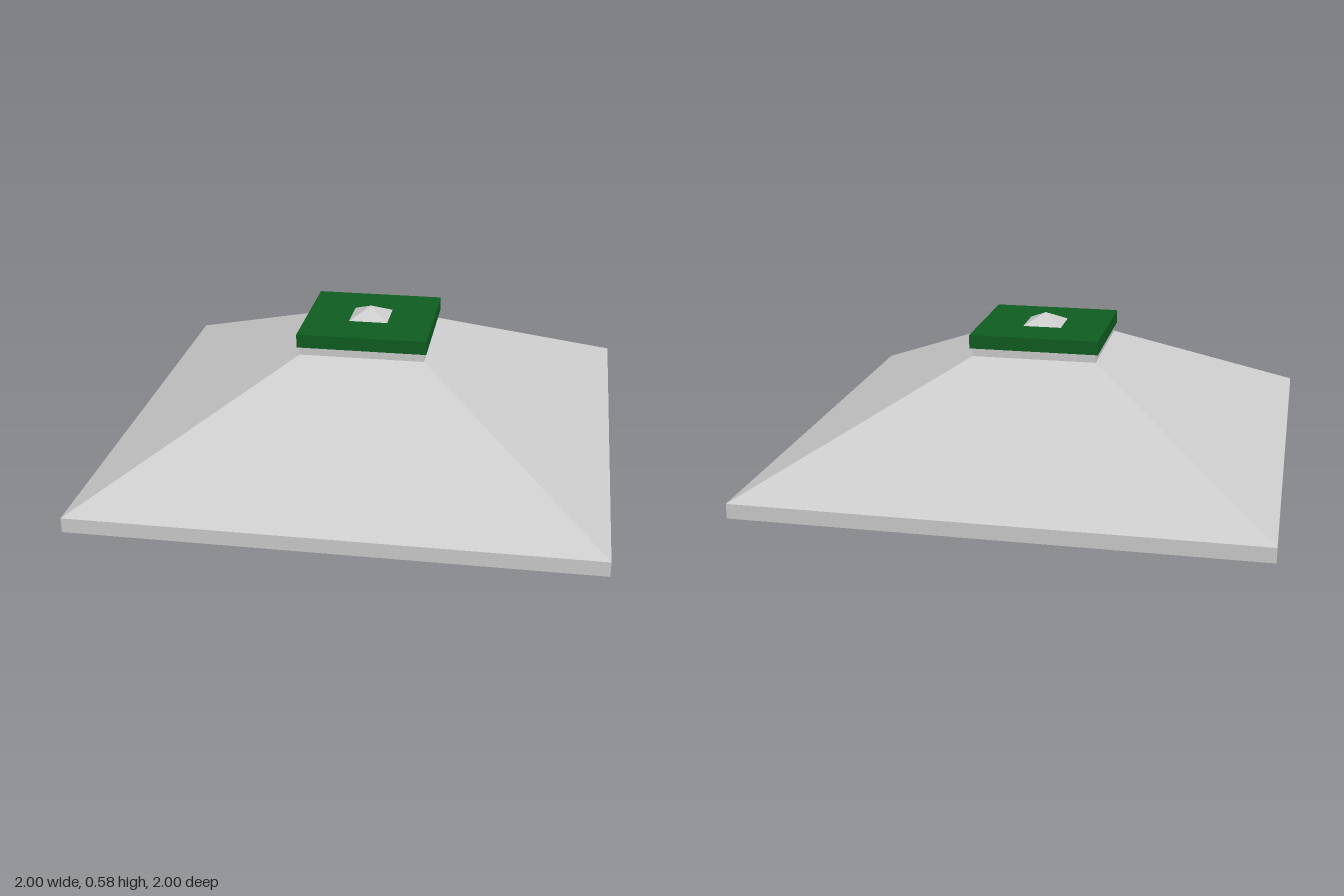
import * as THREE from 'three';

const paint = (color, side = THREE.FrontSide) =>
  new THREE.MeshStandardMaterial({ color, side, flatShading: true });
const grey = paint(0xcccccc);
const shell = paint(0xcccccc, THREE.DoubleSide);
const green = paint(0x0f5c20);
const tan = paint(0xb5a888);

export function createModel() {
  const model = new THREE.Group();
  model.name = 'hippedRoof';

  const add = (name, geometry, material) => {
    const mesh = new THREE.Mesh(geometry, material);
    mesh.name = name;
    model.add(mesh);
  };

  // Four-sided surface from a profile of [half width, height] pairs
  const square = (profile) => new THREE.LatheGeometry(
    profile.map(([half, y]) => new THREE.Vector2(half * Math.SQRT2, y)), 4, Math.PI / 4);

  // Square block between two heights
  const block = (half, y0, y1) =>
    new THREE.BoxGeometry(half * 2, y1 - y0, half * 2).translate(0, (y0 + y1) / 2, 0);

  // Thin roof skin, open below: upright fascia and four slopes
  add('roofShell', square([[1, 0], [1, 0.058], [0.25, 0.453]]), shell);

  // Central shaft hanging inside the roof, with a tan core showing at both ends
  add('shaftCore', block(0.249, 0.045, 0.46), tan);
  add('shaftSleeve', square([[0.25, 0.045], [0.25, 0.43]]), shell);

  // Neck, cap and finial on top
  add('neck', block(0.25, 0.453, 0.488), grey);
  add('cap', block(0.26, 0.487, 0.542), green);
  add('finial', square([[0.08, 0.541], [0, 0.585]]), grey);

  return model;
}
